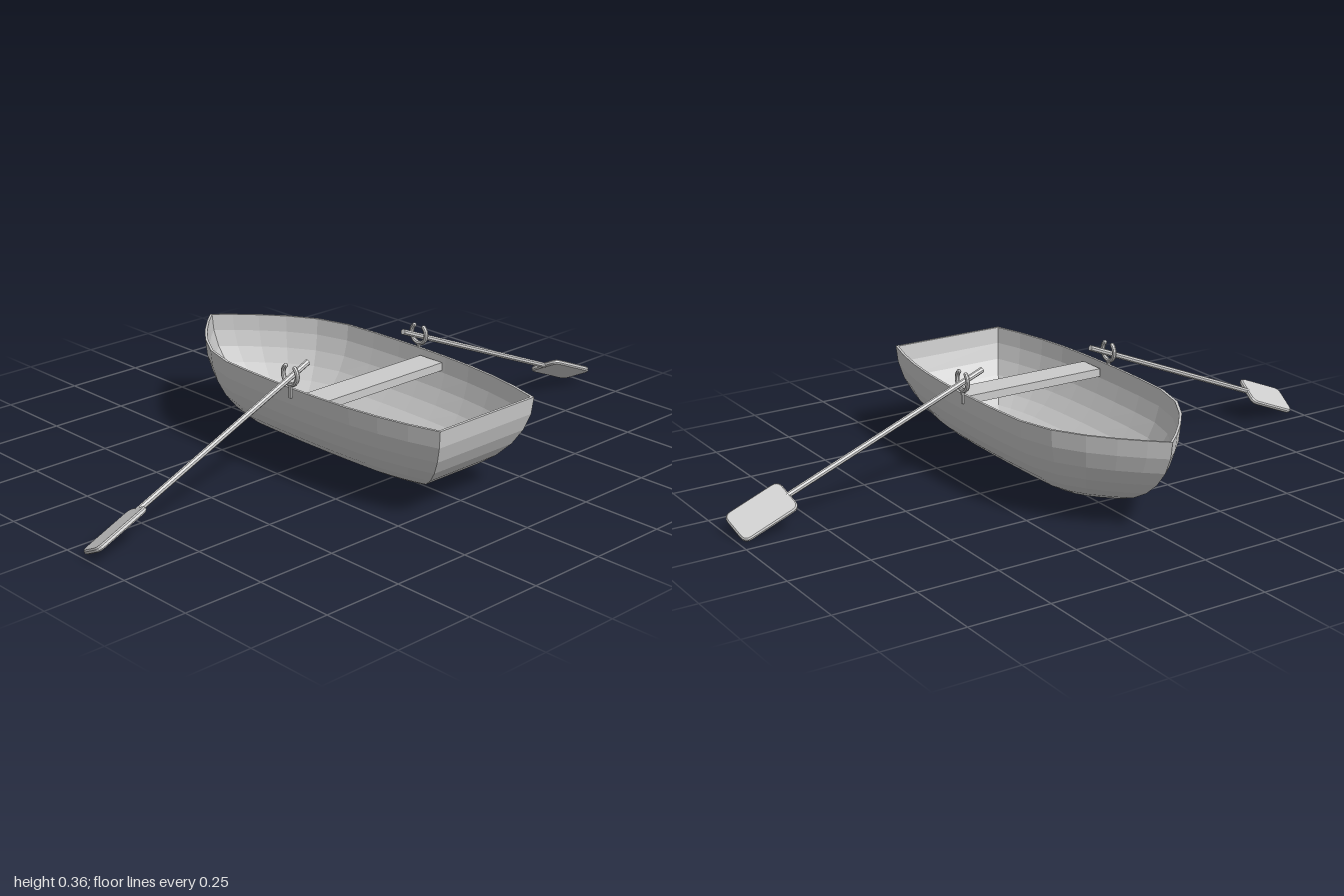
import * as THREE from 'three';

const material = new THREE.MeshStandardMaterial({ color: 0xcccccc, flatShading: true });

function addMesh(parent, name, geometry) {
  const mesh = new THREE.Mesh(geometry, material);
  mesh.name = name;
  parent.add(mesh);
  return mesh;
}

// Half outline of the rim, bow to stern: [x, half width]
const RIM = [
  [-0.595, 0], [-0.55, 0.05], [-0.49, 0.108], [-0.42, 0.165], [-0.33, 0.219], [-0.22, 0.25], [-0.11, 0.257],
  [0, 0.26], [0.1, 0.26], [0.2, 0.257], [0.3, 0.25], [0.4, 0.237], [0.5, 0.217], [0.595, 0.19],
];
const RIM_Y = 0.295, DEPTH = 0.265, WALL = 0.008, STEPS = 8;

// Rings run from the keel up the outside, over the rim and down the inside.
// Below the rim each ring narrows and closes in on a straight keel line.
function hullGeometry() {
  const outline = [...RIM, ...RIM.slice(1).reverse().map(([x, z]) => [x, -z])];
  const n = outline.length;
  const positions = [], index = [];
  const addRing = (angle, inner) => {
    const c = Math.cos(angle), s = Math.sin(angle);
    for (const [x, z] of outline) {
      const keelX = THREE.MathUtils.clamp(x, -0.2, 0.3);
      const px = keelX + (x - keelX) * c;
      positions.push(
        px * (inner ? 0.985 : 1),
        RIM_Y - (DEPTH - (inner ? WALL : 0)) * s,
        z * c * (inner ? 0.97 : 1),
      );
    }
  };
  for (let i = STEPS; i >= 0; i--) addRing((i / STEPS) * Math.PI / 2, false);
  for (let i = 0; i <= STEPS; i++) addRing((i / STEPS) * Math.PI / 2, true);
  for (let i = 0; i < STEPS * 2 + 1; i++) {
    for (let j = 0; j < n; j++) {
      const a = i * n + j, b = i * n + (j + 1) % n;
      index.push(a, b, b + n, a, b + n, a + n);
    }
  }
  const geometry = new THREE.BufferGeometry();
  geometry.setAttribute('position', new THREE.Float32BufferAttribute(positions, 3));
  geometry.setIndex(index);
  geometry.computeVertexNormals();
  return geometry;
}

// Rounded, bevelled paddle blade centred on its own origin, long along y
function bladeGeometry(width, length, thickness) {
  const bevel = 0.004, r = 0.02;
  const w = width / 2 - bevel, h = length / 2 - bevel;
  const shape = new THREE.Shape();
  shape.moveTo(-w + r, -h);
  shape.lineTo(w - r, -h);
  shape.quadraticCurveTo(w, -h, w, -h + r);
  shape.lineTo(w, h - r);
  shape.quadraticCurveTo(w, h, w - r, h);
  shape.lineTo(-w + r, h);
  shape.quadraticCurveTo(-w, h, -w, h - r);
  shape.lineTo(-w, -h + r);
  shape.quadraticCurveTo(-w, -h, -w + r, -h);
  const geometry = new THREE.ExtrudeGeometry(shape, {
    depth: thickness - 2 * bevel, bevelEnabled: true, bevelSize: bevel,
    bevelThickness: bevel, bevelSegments: 1, curveSegments: 4,
  });
  return geometry.translate(0, 0, -thickness / 2 + bevel);
}

// Oar with local y running from the handle to the blade
function createOar(side) {
  const oar = new THREE.Group();
  oar.name = side > 0 ? 'frontOar' : 'backOar';
  const shaftLength = 0.69, bladeLength = 0.185;
  addMesh(oar, 'oarShaft', new THREE.CylinderGeometry(0.009, 0.009, shaftLength, 8)
    .translate(0, shaftLength / 2, 0));
  addMesh(oar, 'oarBlade', bladeGeometry(0.112, bladeLength, 0.015)
    .translate(0, shaftLength + bladeLength / 2 - 0.01, 0));

  // Blade is rolled about the shaft, mirrored on the other side
  const along = new THREE.Vector3(0.024, -0.38, 0.925 * side).normalize();
  const across = new THREE.Vector3(0.1, 0.05, 0.018 * side);
  across.addScaledVector(along, -across.dot(along)).normalize();
  const normal = new THREE.Vector3().crossVectors(across, along);
  oar.quaternion.setFromRotationMatrix(new THREE.Matrix4().makeBasis(across, along, normal));
  oar.position.set(0.073, 0.357, 0.192 * side);
  return oar;
}

// Open ring on a short pin at the rim
function createOarlock(side) {
  const lock = new THREE.Group();
  lock.name = side > 0 ? 'frontOarlock' : 'backOarlock';
  const gap = THREE.MathUtils.degToRad(80);
  const ring = new THREE.TorusGeometry(0.03, 0.007, 8, 20, Math.PI * 2 - gap)
    .rotateZ(Math.PI / 2 + gap / 2);
  addMesh(lock, 'oarlockRing', ring);
  for (const end of [-1, 1]) {
    const a = Math.PI / 2 + end * gap / 2;
    addMesh(lock, 'oarlockTip', new THREE.SphereGeometry(0.007, 8, 6))
      .position.set(0.03 * Math.cos(a), 0.03 * Math.sin(a), 0);
  }
  addMesh(lock, 'oarlockPin', new THREE.CylinderGeometry(0.006, 0.006, 0.04, 8)).position.y = -0.05;
  lock.position.set(0.073, 0.336, 0.26 * side);
  return lock;
}

export function createModel() {
  const boat = new THREE.Group();
  boat.name = 'rowingBoat';
  addMesh(boat, 'hull', hullGeometry());
  addMesh(boat, 'seat', new THREE.BoxGeometry(0.09, 0.025, 0.49)).position.set(0.14, 0.263, 0);
  for (const side of [1, -1]) boat.add(createOar(side), createOarlock(side));
  return boat;
}
